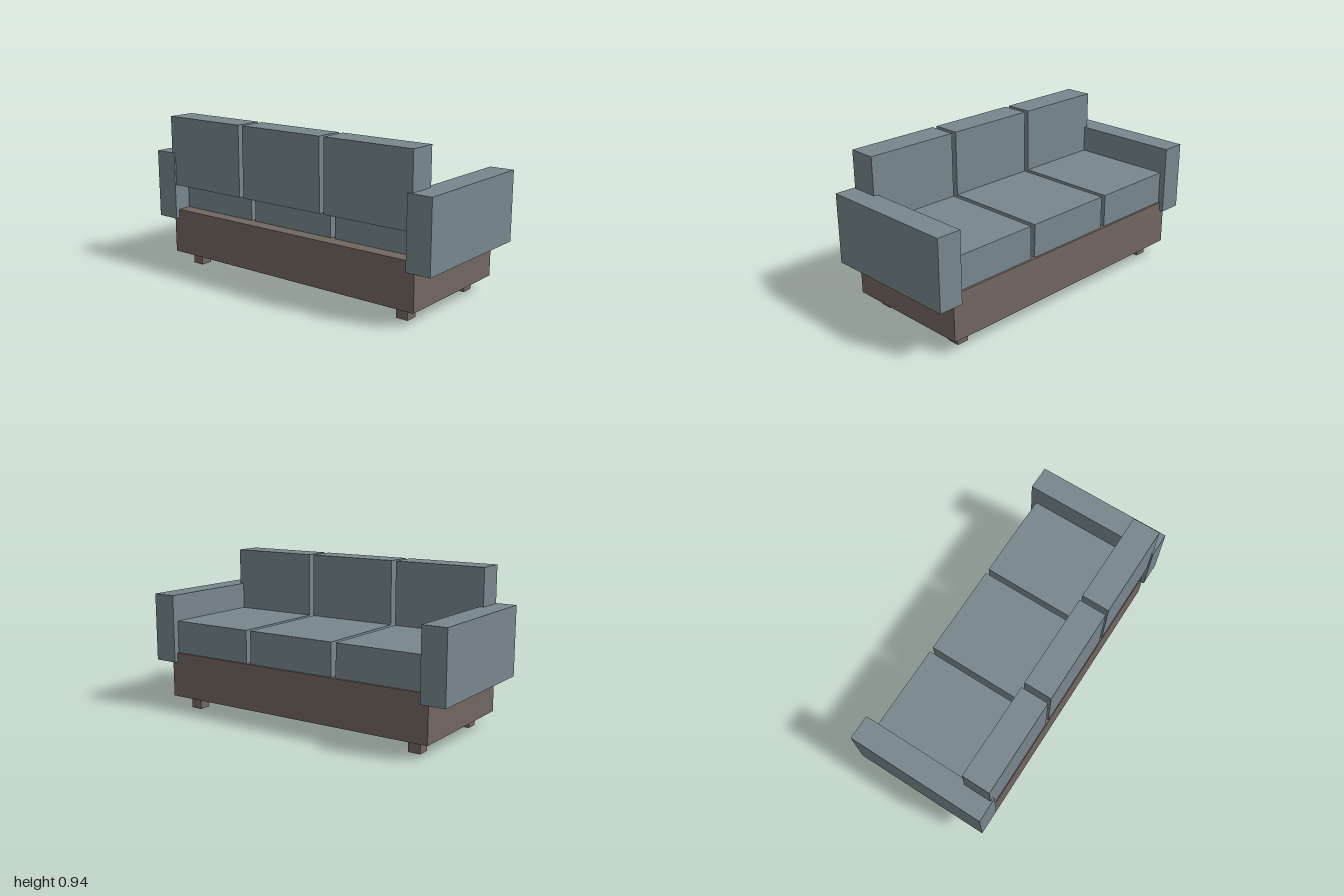
import * as THREE from 'three';

export function createModel() {
  const sofa = new THREE.Group();
  sofa.name = 'sofa';
  const fabric = new THREE.MeshStandardMaterial({ color: 0x78878d });
  const wood = new THREE.MeshStandardMaterial({ color: 0x726761 });

  // box from its [min, max] extents along x, y and z
  function block(name, material, [x0, x1], [y0, y1], [z0, z1]) {
    const mesh = new THREE.Mesh(new THREE.BoxGeometry(x1 - x0, y1 - y0, z1 - z0), material);
    mesh.position.set((x0 + x1) / 2, (y0 + y1) / 2, (z0 + z1) / 2);
    mesh.name = name;
    sofa.add(mesh);
  }

  // wooden base
  block('base', wood, [-0.89, 0.89], [0.08, 0.355], [-0.397, 0.397]);

  // three seat and back cushions; the backrest sinks into the seat on the +z side
  ['right', 'middle', 'left'].forEach((side, i) => {
    const x = (i - 1) * 0.596;
    const span = [x - 0.283, x + 0.283];
    block(`${side}SeatCushion`, fabric, span, [0.355, 0.552], [-0.385, 0.313]);
    block(`${side}BackCushion`, fabric, span, [0.512, 0.936], [0.243, 0.411]);
  });

  // arms and feet, mirrored
  for (const s of [-1, 1]) {
    const side = s > 0 ? 'left' : 'right';
    const mirror = (a, b) => (s > 0 ? [a, b] : [-b, -a]);
    block(`${side}Arm`, fabric, mirror(0.853, 1), [0.299, 0.713], [-0.421, 0.421]);
    block(`${side}FootBackrestSide`, wood, mirror(0.736, 0.809), [0, 0.08], [0.252, 0.325]);
    block(`${side}FootSeatSide`, wood, mirror(0.736, 0.809), [0, 0.08], [-0.325, -0.252]);
  }
  return sofa;
}
